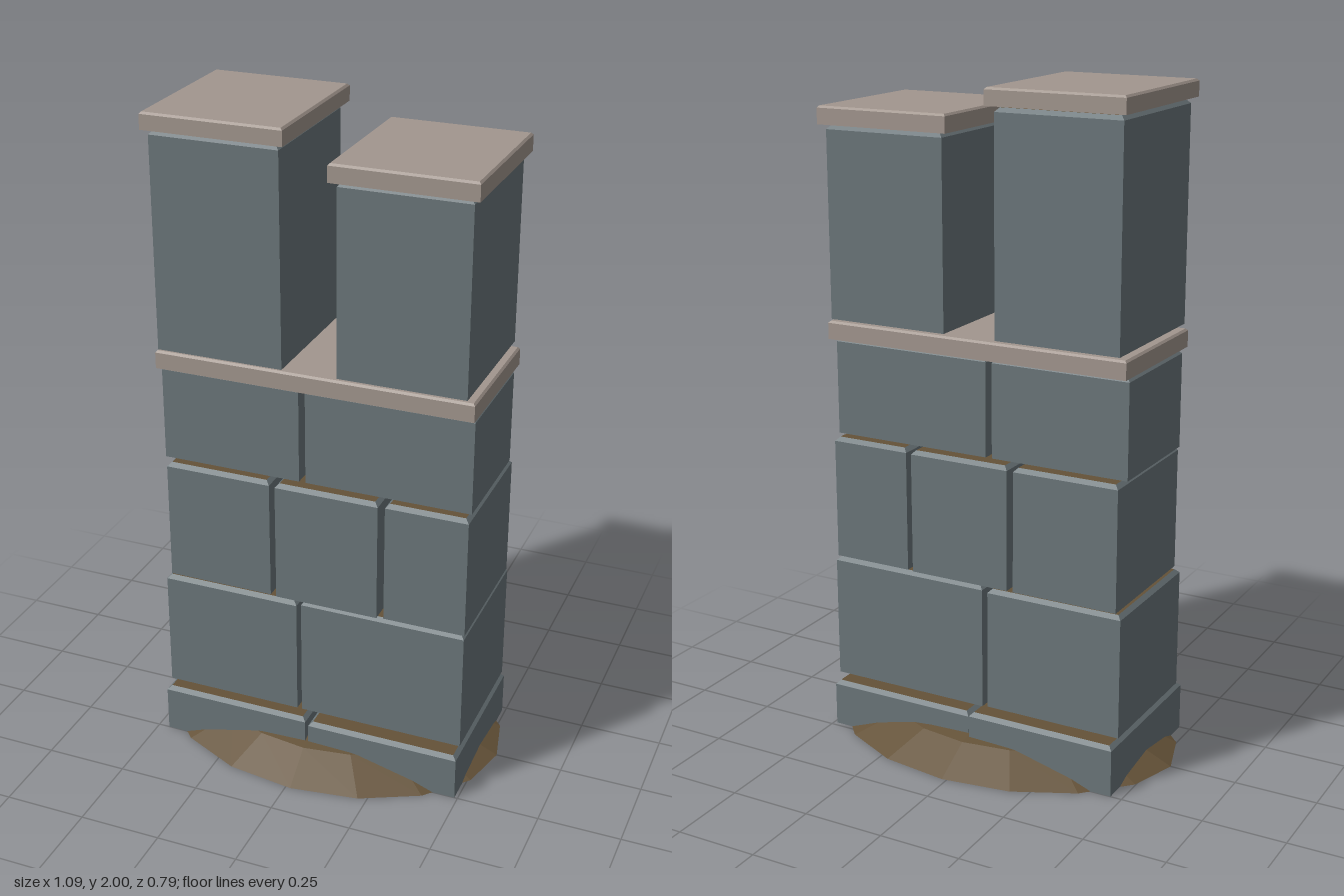
import * as THREE from 'three';

const flat = (color, name) => {
  const m = new THREE.MeshStandardMaterial({ color });
  m.name = name;
  return m;
};

// Box with a bevelled top edge; groups: 0 = sides and bevel, 1 = top, 2 = bottom
function bevelledBox([x0, x1], [y0, y1], [z0, z1], b) {
  const loop = (y, i) => [
    [x0 + i, y, z1 - i], [x1 - i, y, z1 - i], [x1 - i, y, z0 + i], [x0 + i, y, z0 + i],
  ];
  const loops = [loop(y0, 0), loop(y1 - b, 0), loop(y1, b)];
  const pos = [];
  const quad = (p, q, r, s) => pos.push(...p, ...q, ...r, ...p, ...r, ...s);
  for (let k = 0; k < 2; k++) {
    for (let i = 0; i < 4; i++) {
      const j = (i + 1) % 4;
      quad(loops[k][i], loops[k][j], loops[k + 1][j], loops[k + 1][i]);
    }
  }
  quad(...loops[2]);
  quad(...[...loops[0]].reverse());
  const g = new THREE.BufferGeometry();
  g.setAttribute('position', new THREE.Float32BufferAttribute(pos, 3));
  g.addGroup(0, 48, 0);
  g.addGroup(48, 6, 1);
  g.addGroup(54, 6, 2);
  g.computeVertexNormals();
  return g;
}

// Low faceted dome of earth, slightly uneven
function moundGeometry() {
  const profile = [[0, 0], [1, 0], [0.71, 0.07], [0.38, 0.098], [0, 0.107]];
  const lathe = new THREE.LatheGeometry(profile.map(([r, y]) => new THREE.Vector2(r, y)), 16);
  const p = lathe.attributes.position;
  for (let i = 0; i < p.count; i++) {
    const z = p.getZ(i);
    p.setXYZ(i, p.getX(i) * 0.545 + 0.015 * Math.abs(z), p.getY(i), z * 0.393);
  }
  const g = lathe.toNonIndexed();
  g.computeVertexNormals();
  return g;
}

export function createModel() {
  const model = new THREE.Group();
  model.name = 'chimney';
  const stone = flat(0x6b767a, 'stone');
  const slab = flat(0xa2968e, 'capStone');
  const earth = flat(0x645238, 'earth');

  const add = (name, x, y, z, bevel, mats) => {
    const mesh = new THREE.Mesh(bevelledBox(x, y, z, bevel), mats);
    mesh.name = name;
    model.add(mesh);
  };
  const stoneFaces = [stone, earth, earth];
  const slabFaces = [slab, slab, earth];

  const mound = new THREE.Mesh(moundGeometry(), earth);
  mound.name = 'mound';
  model.add(mound);

  // Courses of stone blocks, bottom to top: x range, y range, z range
  const courses = {
    footing: [
      [[-0.465, 0.005], [0, 0.155], [-0.25, 0.25]],
      [[0.015, 0.49], [0, 0.145], [-0.235, 0.25]],
    ],
    lowerCourse: [
      [[-0.465, -0.035], [0.165, 0.543], [-0.205, 0.215]],
      [[-0.02, 0.49], [0.165, 0.55], [-0.21, 0.215]],
    ],
    middleCourse: [
      [[-0.45, -0.12], [0.55, 0.93], [-0.205, 0.21]],
      [[-0.1, 0.22], [0.55, 0.93], [-0.205, 0.215]],
      [[0.24, 0.49], [0.55, 0.93], [-0.2, 0.21]],
    ],
    upperCourse: [
      [[-0.465, -0.035], [0.937, 1.233], [-0.175, 0.185]],
      [[-0.015, 0.49], [0.937, 1.233], [-0.175, 0.185]],
    ],
    flue: [
      [[-0.455, -0.07], [1.3, 1.945], [-0.22, 0.22]],
      [[0.095, 0.475], [1.3, 1.865], [-0.22, 0.217]],
    ],
  };
  for (const [name, blocks] of Object.entries(courses)) {
    blocks.forEach(([x, y, z], i) => add(`${name}Block${i + 1}`, x, y, z, 0.012, stoneFaces));
  }

  // Cap slabs
  add('middleSlab', [-0.47, 0.495], [1.235, 1.29], [-0.21, 0.212], 0.006, slabFaces);
  add('tallFlueCap', [-0.47, -0.05], [1.95, 2], [-0.24, 0.24], 0.006, slabFaces);
  add('shortFlueCap', [0.075, 0.495], [1.867, 1.92], [-0.235, 0.235], 0.006, slabFaces);

  return model;
}
